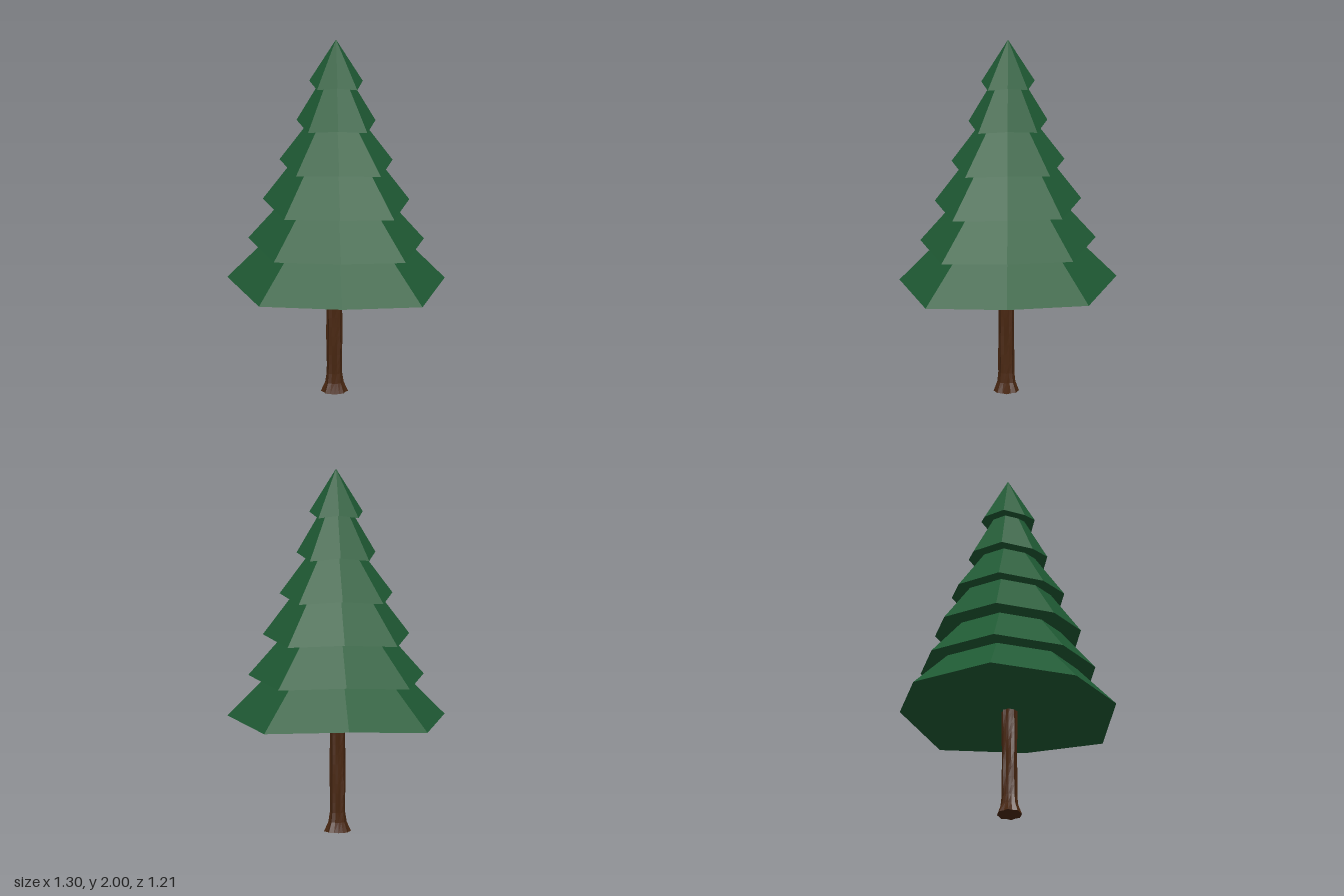
import * as THREE from 'three';

const needles = new THREE.MeshStandardMaterial({ color: 0x1f5a34, flatShading: true });
const bark = new THREE.MeshStandardMaterial({ color: 0x4a2812, flatShading: true });

// Calls a rule on every vertex and writes the result back
function reshape(geometry, rule) {
  const p = geometry.attributes.position;
  const v = new THREE.Vector3();
  for (let i = 0; i < p.count; i++) {
    v.fromBufferAttribute(p, i);
    rule(v);
    p.setXYZ(i, v.x, v.y, v.z);
  }
  geometry.computeVertexNormals();
  return geometry;
}

// Eight-sided bough skirt, with every second rim corner pulled in and lifted
function boughTier(radius, bottom, apex, lift) {
  const height = apex - bottom;
  const geometry = new THREE.ConeGeometry(radius, height, 8, 1);
  geometry.translate(0, bottom + height / 2, 0);
  reshape(geometry, (v) => {
    if (Math.abs(v.x) > 0.01 && Math.abs(v.z) > 0.01) {
      v.x *= 0.94;
      v.z *= 0.94;
      v.y += lift;
    }
    v.z *= 0.933;
  });
  return new THREE.Mesh(geometry, needles);
}

// Ridged trunk with a flared foot
function trunk() {
  const height = 0.64;
  const sides = 16;
  const geometry = new THREE.CylinderGeometry(1, 1, height, sides, 12);
  geometry.translate(0, height / 2, 0);
  reshape(geometry, (v) => {
    const angle = Math.atan2(v.x, v.z);
    const side = Math.round((angle / (Math.PI * 2)) * sides + sides) % sides;
    const ridge = side % 2 ? 0.9 : 1.02;
    const wobble = 1 + 0.04 * Math.sin(v.y * 17 + side * 2.4);
    const foot = 0.028 * Math.max(0, 1 - v.y / 0.07);
    const r = (0.042 + foot) * ridge * wobble;
    v.x *= r;
    v.z = v.z * r + 0.013;
  });
  return new THREE.Mesh(geometry, bark);
}

export function createModel() {
  const tree = new THREE.Group();
  tree.name = 'pineTree';

  const stem = trunk();
  stem.name = 'trunk';
  tree.add(stem);

  // Rim radius, rim height, apex height and corner lift, bottom to top
  const tiers = [
    [0.65, 0.615, 1.24, 0.03],
    [0.525, 0.84, 1.41, 0.028],
    [0.438, 1.065, 1.62, 0.026],
    [0.338, 1.29, 1.73, 0.026],
    [0.236, 1.517, 1.91, 0.024],
    [0.16, 1.745, 2.0, 0.02],
  ];
  const foliage = new THREE.Group();
  foliage.name = 'foliage';
  tiers.forEach((t, i) => {
    const tier = boughTier(...t);
    tier.name = `boughTier${i + 1}`;
    foliage.add(tier);
  });
  tree.add(foliage);
  return tree;
}
